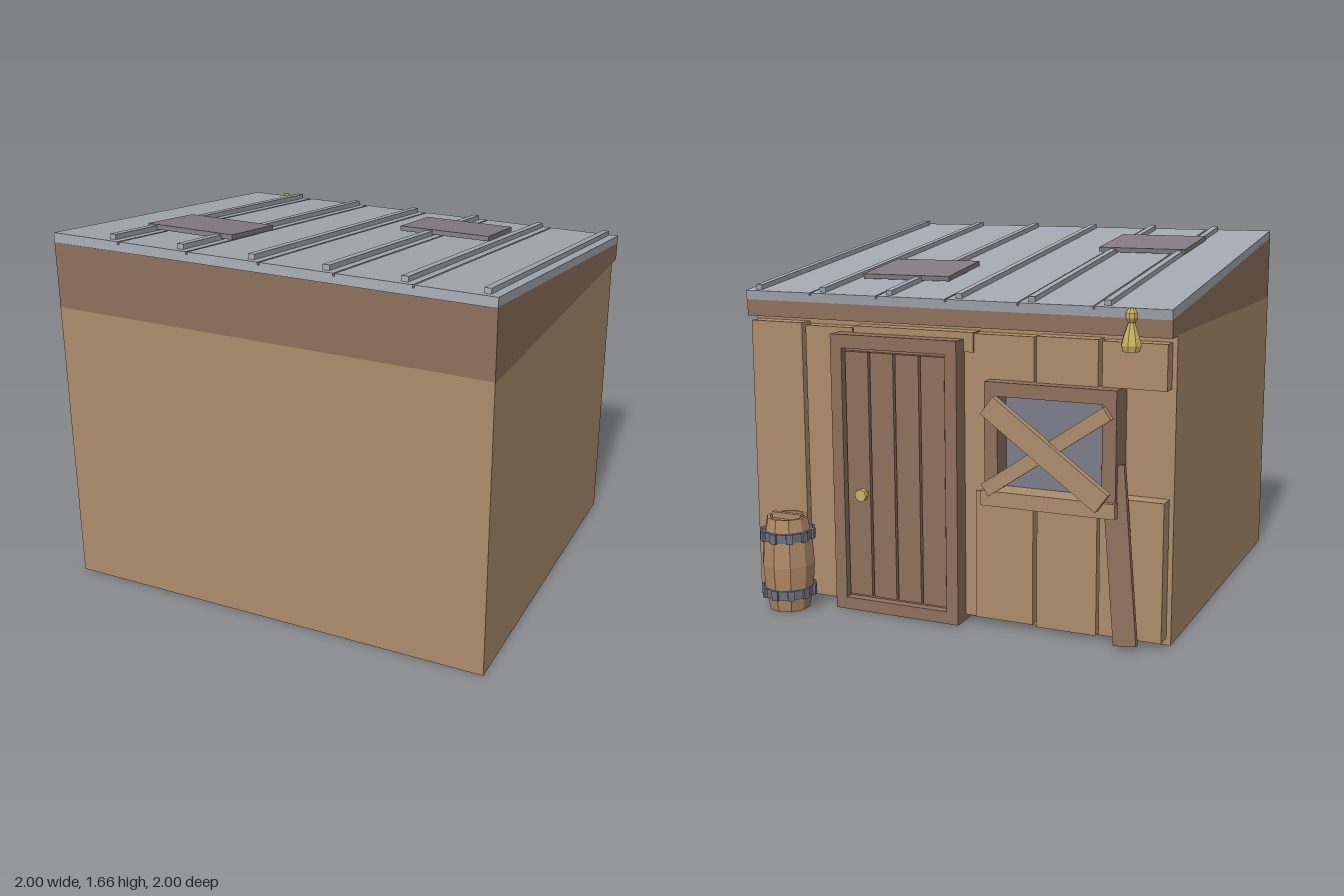
import * as THREE from 'three';

const mat = (name, color, side = THREE.FrontSide) => {
  const m = new THREE.MeshStandardMaterial({ color, side, flatShading: true });
  m.name = name;
  return m;
};

export function createModel() {
  const wood = mat('light wood', 0xae8d6d);
  const darkWood = mat('dark wood', 0x8f705c);
  const barrelWood = mat('barrel wood', 0xb08a68);
  const tin = mat('roof tin', 0xa4a8b0);
  const patchTin = mat('patch tin', 0x827b83);
  const glass = mat('window glass', 0x7c7d8a);
  const iron = mat('iron', 0x6c7182);
  const brass = mat('brass', 0xc9b264);

  const model = new THREE.Group();
  model.name = 'shed';
  const add = (parent, name, geo, material, x = 0, y = 0, z = 0) => {
    const m = new THREE.Mesh(geo, material);
    m.name = name;
    m.position.set(x, y, z);
    parent.add(m);
    return m;
  };
  // box given by its limits on each axis
  const block = (parent, name, material, x0, x1, y0, y1, z0, z1) =>
    add(parent, name, new THREE.BoxGeometry(x1 - x0, y1 - y0, z1 - z0), material,
      (x0 + x1) / 2, (y0 + y1) / 2, (z0 + z1) / 2);
  const group = (name, x = 0, y = 0, z = 0) => {
    const g = new THREE.Group();
    g.name = name;
    g.position.set(x, y, z);
    model.add(g);
    return g;
  };

  // walls and the sloped band under the roof
  block(model, 'walls', wood, -1, 1, 0, 1.31, -0.655, 1);
  const side = new THREE.Shape([[-1, 1.305], [0.73, 1.305], [0.73, 1.385], [-1, 1.608]]
    .map(p => new THREE.Vector2(...p)));
  const bandGeo = new THREE.ExtrudeGeometry(side, { depth: 2, bevelEnabled: false });
  bandGeo.rotateY(Math.PI / 2).translate(-1, 0, 0);
  add(model, 'upperBand', bandGeo, darkWood);

  // tin roof: six sheets, a rib on each, and two patches
  const roof = group('roof', 0, 1.533, 0.13);
  roof.rotation.x = -Math.atan(0.225 / 1.74);
  block(roof, 'roofDeck', tin, -1, 1, -0.042, -0.012, -0.876, 0.876);
  for (let i = 0; i < 6; i++) {
    const x = -1 + i / 3;
    block(roof, 'roofSheet', tin, x, x + (i < 5 ? 0.325 : 1 / 3), -0.014, 0, -0.876, 0.876);
    block(roof, 'roofRib', tin, x + 0.262, x + 0.292, -0.002, 0.022, -0.85, 0.84);
  }
  [[0.345, -0.397, 0.025], [-0.535, 0.363, -0.015]].forEach(([x, z, turn]) => {
    const p = add(roof, 'roofPatch', new THREE.BoxGeometry(0.43, 0.022, 0.35), patchTin, x, 0.017, z);
    p.rotation.y = turn;
  });

  // wall planks on the door side: full height, then above and below the window
  const planks = group('wallPlanks');
  [[0.715, 0.98, 0.03, 1.285], [0.46, 0.70, 0.02, 1.275], [-0.13, 0.45, 1.2, 1.285],
    [-0.19, -0.08, 0.03, 1.28],
    [-0.405, -0.14, 0.03, 0.60], [-0.69, -0.42, 0.02, 0.60], [-0.98, -0.705, 0.03, 0.63],
    [-0.405, -0.14, 1.08, 1.28], [-0.69, -0.42, 1.07, 1.285], [-0.98, -0.705, 1.09, 1.28],
  ].forEach(([x0, x1, y0, y1], i) =>
    block(planks, 'wallPlank', wood, x0, x1, y0, y1, -0.73 + (i % 2) * 0.008, -0.65));

  // door with its frame
  const door = group('door');
  block(door, 'doorPost', darkWood, 0.47, 0.525, 0.005, 1.255, -0.805, -0.65);
  block(door, 'doorPost', darkWood, -0.085, -0.03, 0.005, 1.255, -0.805, -0.65);
  block(door, 'doorLintel', darkWood, -0.03, 0.47, 1.195, 1.255, -0.805, -0.65);
  block(door, 'doorSill', darkWood, -0.03, 0.47, 0.005, 0.06, -0.805, -0.65);
  block(door, 'doorBacking', darkWood, -0.03, 0.47, 0.06, 1.195, -0.765, -0.65);
  for (let i = 0; i < 4; i++) {
    const x = -0.022 + i * 0.123;
    block(door, 'doorPlank', darkWood, x, x + 0.112, 0.075, 1.18, -0.79, -0.76);
  }
  const knob = new THREE.CylinderGeometry(0.028, 0.028, 0.025, 8).rotateX(Math.PI / 2);
  add(door, 'doorKnob', knob, brass, 0.37, 0.55, -0.827);
  add(door, 'knobStem', new THREE.CylinderGeometry(0.014, 0.014, 0.05, 8).rotateX(Math.PI / 2),
    brass, 0.37, 0.55, -0.805);

  // boarded-up window
  const win = group('window');
  block(win, 'windowGlass', glass, -0.75, -0.25, 0.62, 1.05, -0.69, -0.683);
  block(win, 'windowPost', darkWood, -0.265, -0.205, 0.62, 1.09, -0.785, -0.65);
  block(win, 'windowPost', darkWood, -0.79, -0.73, 0.62, 1.09, -0.785, -0.65);
  block(win, 'windowLintel', darkWood, -0.73, -0.265, 1.03, 1.09, -0.785, -0.65);
  block(win, 'windowSill', wood, -0.795, -0.195, 0.56, 0.625, -0.805, -0.65);
  const board = (name, x0, y0, x1, y1, width, z, depth) => {
    const b = add(win, name,
      new THREE.BoxGeometry(Math.hypot(x1 - x0, y1 - y0), width, depth), wood,
      (x0 + x1) / 2, (y0 + y1) / 2, z);
    b.rotation.z = Math.atan2(y1 - y0, x1 - x0);
  };
  board('wideCrossBoard', -0.75, 0.63, -0.24, 1.0, 0.095, -0.825, 0.035);
  board('narrowCrossBoard', -0.76, 1.0, -0.22, 0.63, 0.06, -0.80, 0.035);

  // loose plank leaning beside the window
  const loose = add(model, 'leaningPlank', new THREE.BoxGeometry(0.1, 0.76, 0.025), darkWood,
    -0.805, 0.40, -0.765);
  loose.rotation.set(0.05, 0, -0.1);

  // brass lamp hanging under the eave
  const lampProfile = [[0, 1.25], [0.036, 1.25], [0.043, 1.275], [0.034, 1.31], [0.015, 1.365],
    [0.026, 1.385], [0.026, 1.405], [0.012, 1.425], [0, 1.425]];
  add(model, 'lamp', new THREE.LatheGeometry(lampProfile.map(p => new THREE.Vector2(...p)), 8),
    brass, -0.84, 0, -0.765);

  // barrel with iron hoops
  const barrel = group('barrel', 0.73, 0, -0.873);
  const barrelProfile = [[0, 0.005], [0.092, 0.005], [0.112, 0.11], [0.12, 0.215], [0.112, 0.33],
    [0.092, 0.43], [0.078, 0.43], [0.076, 0.415], [0, 0.415]];
  add(barrel, 'barrelStaves',
    new THREE.LatheGeometry(barrelProfile.map(p => new THREE.Vector2(...p)), 10), barrelWood);
  for (const y of [0.088, 0.35]) {
    add(barrel, 'barrelHoop', new THREE.CylinderGeometry(0.117, 0.117, 0.04, 10), iron, 0, y, 0);
    for (let i = 0; i < 10; i++) {
      const a = (i / 10) * Math.PI * 2;
      const s = add(barrel, 'hoopStud', new THREE.BoxGeometry(0.03, 0.044, 0.02), iron,
        Math.sin(a) * 0.113, y, Math.cos(a) * 0.113);
      s.rotation.y = a;
    }
  }
  block(barrel, 'lidHandle', barrelWood, -0.075, 0.075, 0.41, 0.442, -0.01, 0.01);

  return model;
}
